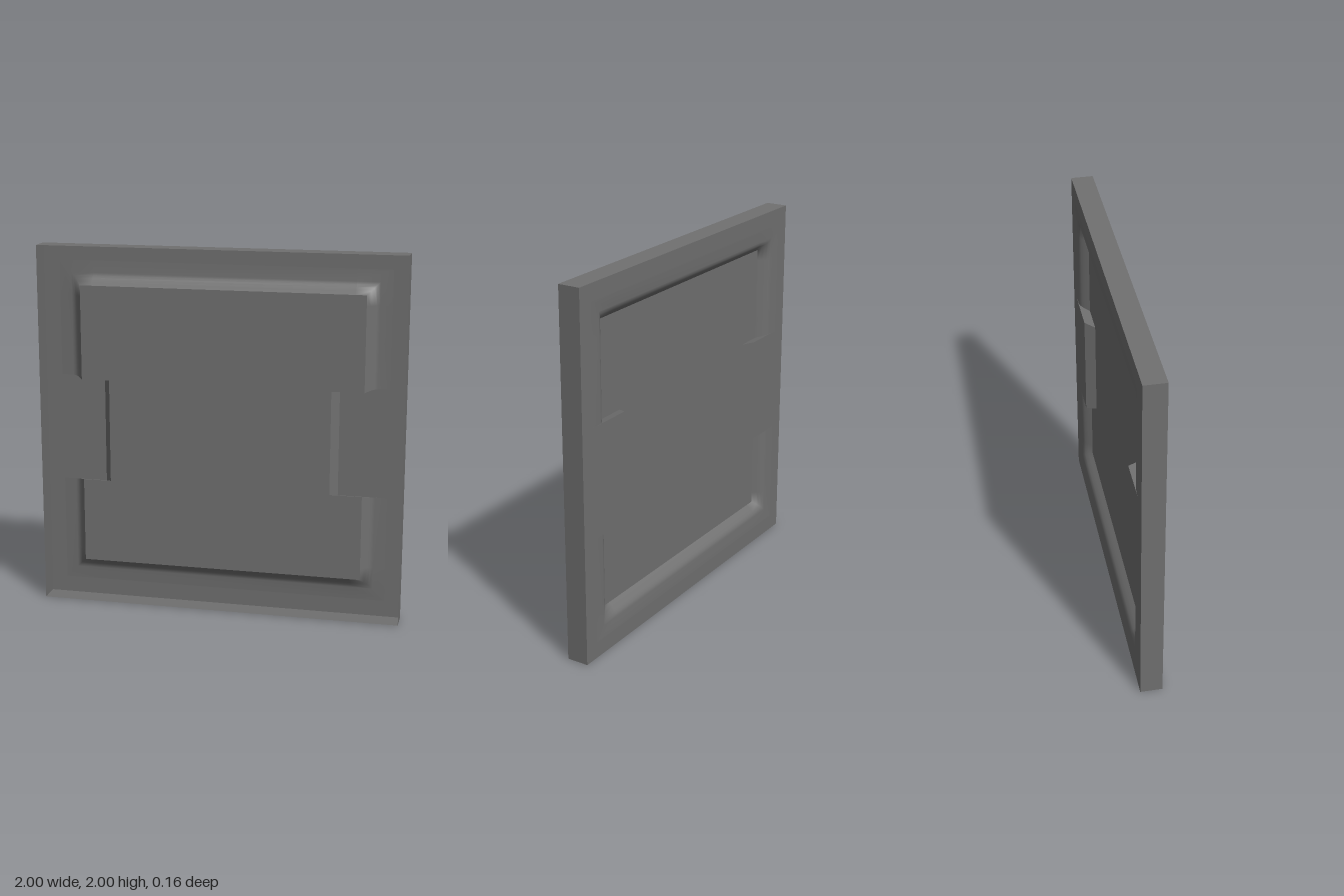
import * as THREE from 'three';

const BACK = -0.06, FRONT = 0.06, DEPTH = 0.055; // shell thickness and recess depth
const P = 0.78, Y0 = -0.31, Y1 = 0.26;           // panel half size, tab bottom and top
const FLARE = 0.014;                             // tabs are slightly taller at the rim
// Roundover from the rim into the recess: [distance from panel edge, depth share]
const PROFILE = [[0, 1], [0.018, 0.6], [0.034, 0.3], [0.048, 0.13], [0.064, 0.05], [0.13, 0]];
const OUT = P + 0.13;
// Tab ends for each side: x at the rim level and x at the panel level
const TABS = [{ s: 1, rim: 0.642, panel: 0.604 }, { s: -1, rim: 0.664, panel: 0.624 }];

const material = new THREE.MeshStandardMaterial({ color: 0x707070, side: THREE.DoubleSide });

const points = (list) => list.map(([x, y]) => new THREE.Vector2(x, y));

// Height of a tab's upper (v = 1) or lower (v = -1) flank at a depth share
const flankY = (v, d) => (v > 0 ? Y1 : Y0) + v * FLARE * (1 - d);

function add(group, name, geometry) {
  const mesh = new THREE.Mesh(geometry, material);
  mesh.name = name;
  group.add(mesh);
  return mesh;
}

// Square outline of half size h at a depth share d, notched by the tabs
function notched(h, key, d) {
  const [a, b] = TABS.map((t) => t[key]);
  const lo = flankY(-1, d), hi = flankY(1, d);
  return points([
    [-h, -h], [h, -h], [h, lo], [a, lo], [a, hi], [h, hi],
    [h, h], [-h, h], [-h, hi], [-b, hi], [-b, lo], [-h, lo],
  ]);
}

// Grid surface from rows of equal length
function surface(rows) {
  const n = rows[0].length, index = [];
  for (let i = 0; i < rows.length - 1; i++) {
    for (let j = 0; j < n - 1; j++) {
      const a = i * n + j, b = a + n;
      index.push(a, b, a + 1, b, b + 1, a + 1);
    }
  }
  const g = new THREE.BufferGeometry();
  g.setAttribute('position', new THREE.Float32BufferAttribute(rows.flat(2), 3));
  g.setIndex(index);
  g.computeVertexNormals();
  return g;
}

// U-shaped roundover above (v = 1) or below (v = -1) the tabs
function roundover(v) {
  const near = P - 0.06;
  return surface(PROFILE.map(([t, d]) => {
    const z = BACK + DEPTH * d, e = P + t, start = flankY(v, d);
    return [
      [e, start, z], [e, v * near, z], [e, v * e, z], [near, v * e, z],
      [-near, v * e, z], [-e, v * e, z], [-e, v * near, z], [-e, start, z],
    ];
  }));
}

export function createModel() {
  const body = new THREE.Group();
  body.name = 'panelShell';

  // Recessed centre panel
  add(body, 'centrePanel', new THREE.ShapeGeometry(new THREE.Shape(notched(P, 'panel', 1))))
    .position.z = BACK + DEPTH;

  // Flat rim including the two side tabs
  const rim = new THREE.Shape(points([[-1, -1], [1, -1], [1, 1], [-1, 1]]));
  rim.holes.push(new THREE.Path(notched(OUT, 'rim', 0)));
  add(body, 'rim', new THREE.ShapeGeometry(rim)).position.z = BACK;

  // Curved transitions between rim and panel
  add(body, 'upperRoundover', roundover(1));
  add(body, 'lowerRoundover', roundover(-1));

  // Sloped end and flanks of each tab
  for (const { s, rim: r, panel: p } of TABS) {
    const level = (x, d) => [-1, 1].map((v) => [s * x, flankY(v, d), BACK + DEPTH * d]);
    add(body, 'tabEnd', surface([level(r, 0), level(p, 1)]));
    for (const v of [-1, 1]) {
      const at = (x, d) => [s * x, flankY(v, d), BACK + DEPTH * d];
      add(body, 'tabFlank', surface([
        [at(p, 1), ...PROFILE.map(([t, d]) => at(P + t, d))],
        [at(r, 0), ...PROFILE.map(([t]) => at(P + t, 0))],
      ]));
    }
  }

  // Four outer walls, open at the front
  for (let i = 0; i < 4; i++) {
    const wall = add(body, 'outerWall', surface([
      [[1, -1, BACK], [1, 1, BACK]],
      [[1, -1, FRONT], [1, 1, FRONT]],
    ]));
    wall.rotation.z = i * Math.PI / 2;
  }

  // Slight lean of the whole piece
  body.rotation.set(-0.0055, -0.0145, 0);
  body.position.y = 1;

  const model = new THREE.Group();
  model.name = 'recessedPanel';
  model.add(body);
  return model;
}
